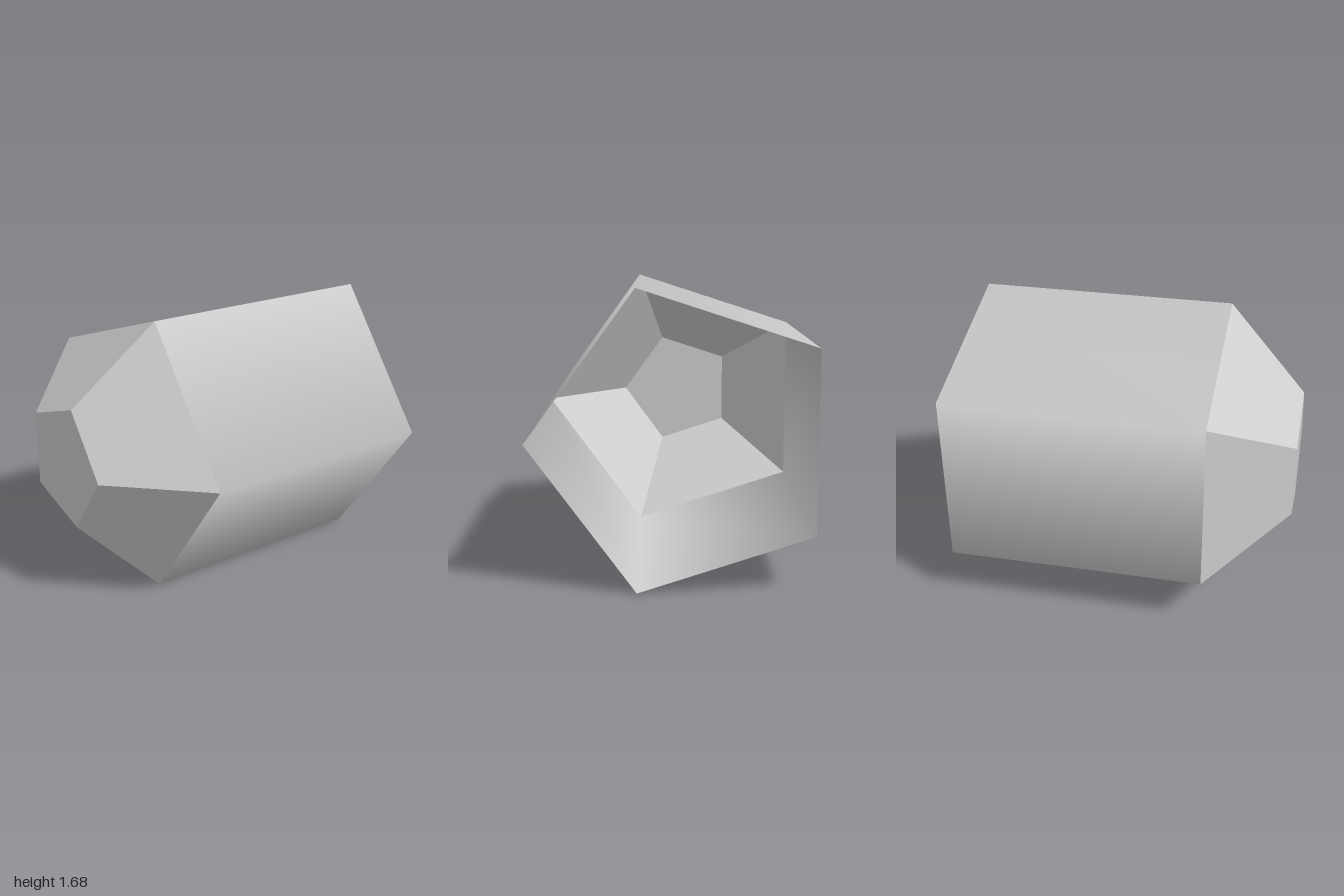
import * as THREE from 'three';

const SIDES = 5;
const R_OUT = 0.881, R_IN = 0.385;           // corner radii of tube and front face
const Z_BACK = -1, Z_STEP = 0.525, Z_FRONT = 1;

// open five-sided ring along z, with a corner pointing to +x
function ring(rBack, rFront, zBack, zFront) {
  const g = new THREE.CylinderGeometry(rFront, rBack, zFront - zBack, SIDES, 1, true, Math.PI / 2);
  g.rotateX(Math.PI / 2);
  g.translate(0, 0, (zBack + zFront) / 2);
  return g;
}

export function createModel() {
  const group = new THREE.Group();
  group.name = 'pentagonalShell';
  const grey = new THREE.MeshStandardMaterial({ color: 0xcccccc, side: THREE.DoubleSide });
  grey.name = 'lightGrey';

  const add = (name, geometry) => {
    const mesh = new THREE.Mesh(geometry, grey);
    mesh.name = name;
    mesh.position.set(-0.084, 0.838, 0);
    group.add(mesh);
  };

  // smooth-shaded tube, open at the back
  add('tube', ring(R_OUT, R_OUT, Z_BACK, Z_STEP));

  // flat-faced taper towards the front
  const taper = ring(R_OUT, R_IN, Z_STEP, Z_FRONT).toNonIndexed();
  taper.computeVertexNormals();
  add('taper', taper);

  // closed front face
  add('frontFace', new THREE.CircleGeometry(R_IN, SIDES).translate(0, 0, Z_FRONT));

  return group;
}
